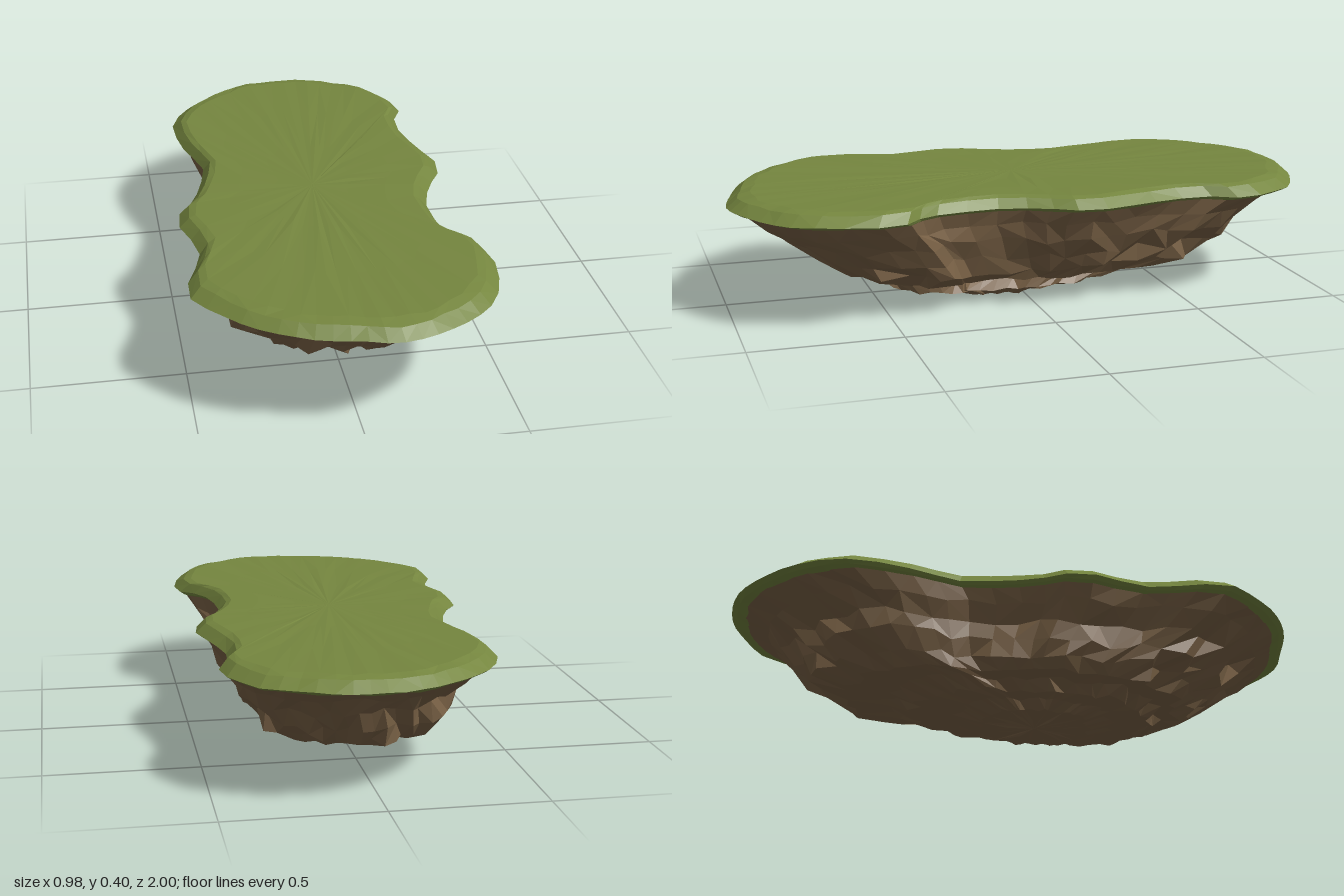
import * as THREE from 'three';

// Plan outline of the island as x, z pairs, running back, left, front, right
const OUTLINE = [
  0, -1, 0.13, -0.99, 0.26, -0.94, 0.36, -0.88, 0.42, -0.78, 0.46, -0.68, 0.41, -0.54,
  0.44, -0.33, 0.48, -0.19, 0.48, -0.12, 0.42, 0, 0.37, 0.14, 0.39, 0.36, 0.43, 0.43,
  0.49, 0.51, 0.47, 0.7, 0.43, 0.8, 0.36, 0.88, 0.19, 0.98, 0.09, 0.995, -0.03, 0.97,
  -0.2, 0.92, -0.34, 0.83, -0.42, 0.74, -0.49, 0.64, -0.49, 0.56, -0.43, 0.36,
  -0.48, 0.14, -0.47, 0.08, -0.41, -0.02, -0.35, -0.25, -0.35, -0.3, -0.39, -0.4,
  -0.42, -0.57, -0.42, -0.66, -0.38, -0.76, -0.31, -0.85, -0.16, -0.96, -0.08, -0.99,
];
const SEGMENTS = 68;
const HALF_WIDTH = 0.49;

function seeded(seed) {
  return () => {
    seed = (seed * 16807) % 2147483647;
    return seed / 2147483647;
  };
}

// Evenly spaced outline, normalised to about -1..1 on both axes
function unitOutline() {
  const points = [];
  for (let i = 0; i < OUTLINE.length; i += 2) {
    points.push(new THREE.Vector3(OUTLINE[i] / HALF_WIDTH, 0, OUTLINE[i + 1]));
  }
  const curve = new THREE.CatmullRomCurve3(points, true, 'centripetal');
  return curve.getSpacedPoints(SEGMENTS).slice(0, SEGMENTS);
}

// Joins rings from top to bottom.
// Ring: height, centre x, half width, centre z, half length, roundness, roughness, height noise
function loft(outline, rings, random) {
  const positions = [];
  const index = [];
  for (const [y, cx, hx, cz, hz, round, rough, bump] of rings) {
    for (const p of outline) {
      const length = Math.hypot(p.x, p.z);
      const scale = THREE.MathUtils.lerp(1, 1 / length, round) * (1 + rough * (random() - 0.5));
      const height = Math.max(0, y + bump * (random() - 0.5));
      positions.push(cx + p.x * hx * scale, height, cz + p.z * hz * scale);
    }
  }
  for (let r = 0; r < rings.length - 1; r++) {
    for (let i = 0; i < SEGMENTS; i++) {
      const next = (i + 1) % SEGMENTS;
      const a = r * SEGMENTS + i;
      const b = r * SEGMENTS + next;
      const c = a + SEGMENTS;
      const d = b + SEGMENTS;
      // Random diagonals break up the regular grid
      if (random() < 0.5) index.push(a, b, c, b, d, c);
      else index.push(a, b, d, a, d, c);
    }
  }
  const geometry = new THREE.BufferGeometry();
  geometry.setAttribute('position', new THREE.Float32BufferAttribute(positions, 3));
  geometry.setIndex(index);
  const faceted = geometry.toNonIndexed();
  faceted.computeVertexNormals();
  return faceted;
}

function part(name, geometry, color) {
  const material = new THREE.MeshStandardMaterial({ color, flatShading: true });
  const mesh = new THREE.Mesh(geometry, material);
  mesh.name = name;
  return mesh;
}

export function createModel() {
  const group = new THREE.Group();
  group.name = 'floatingIsland';
  const outline = unitOutline();

  // Turf: gently uneven top, bevelled rim and a lip tucked under
  const turf = [
    [0.398, 0, 0, 0, 0, 0, 0, 0],
    [0.397, 0, 0.15, 0, 0.32, 0, 0.1, 0.003],
    [0.397, 0, 0.3, 0, 0.64, 0, 0.08, 0.003],
    [0.398, 0, 0.43, 0, 0.92, 0, 0.02, 0.003],
    [0.39, 0, 0.455, 0, 0.96, 0, 0.008, 0.004],
    [0.36, 0, HALF_WIDTH, 0, 1, 0, 0, 0.004],
    [0.35, 0, 0.475, 0, 0.98, 0, 0.005, 0.004],
    [0.342, 0, 0.435, 0, 0.94, 0, 0.01, 0.002],
  ];
  group.add(part('turf', loft(outline, turf, seeded(17)), 0x75863f));

  // Rock: sloping sides stepping down through two ledges to a small foot
  const rock = [
    [0.352, 0, 0.46, 0, 0.965, 0, 0.005, 0],
    [0.3, 0, 0.43, 0.01, 0.88, 0.05, 0.03, 0.02],
    [0.24, 0.01, 0.395, 0, 0.8, 0.15, 0.07, 0.03],
    [0.175, -0.01, 0.37, -0.02, 0.73, 0.25, 0.1, 0.035],
    [0.12, -0.01, 0.345, -0.03, 0.66, 0.3, 0.12, 0.025],
    [0.08, -0.02, 0.305, -0.01, 0.58, 0.4, 0.12, 0.012],
    [0.073, -0.02, 0.25, 0.02, 0.47, 0.5, 0.14, 0.014],
    [0.04, 0, 0.235, 0.05, 0.41, 0.6, 0.14, 0.012],
    [0.032, 0.01, 0.19, 0.06, 0.27, 0.7, 0.14, 0.01],
    [0.006, 0.01, 0.16, 0.06, 0.19, 0.8, 0.15, 0.008],
    [0.004, 0.01, 0.08, 0.06, 0.1, 0.9, 0.2, 0.01],
    [0.003, 0.01, 0, 0.06, 0, 1, 0, 0],
  ];
  group.add(part('rock', loft(outline, rock, seeded(91)), 0x7a6246));

  return group;
}
